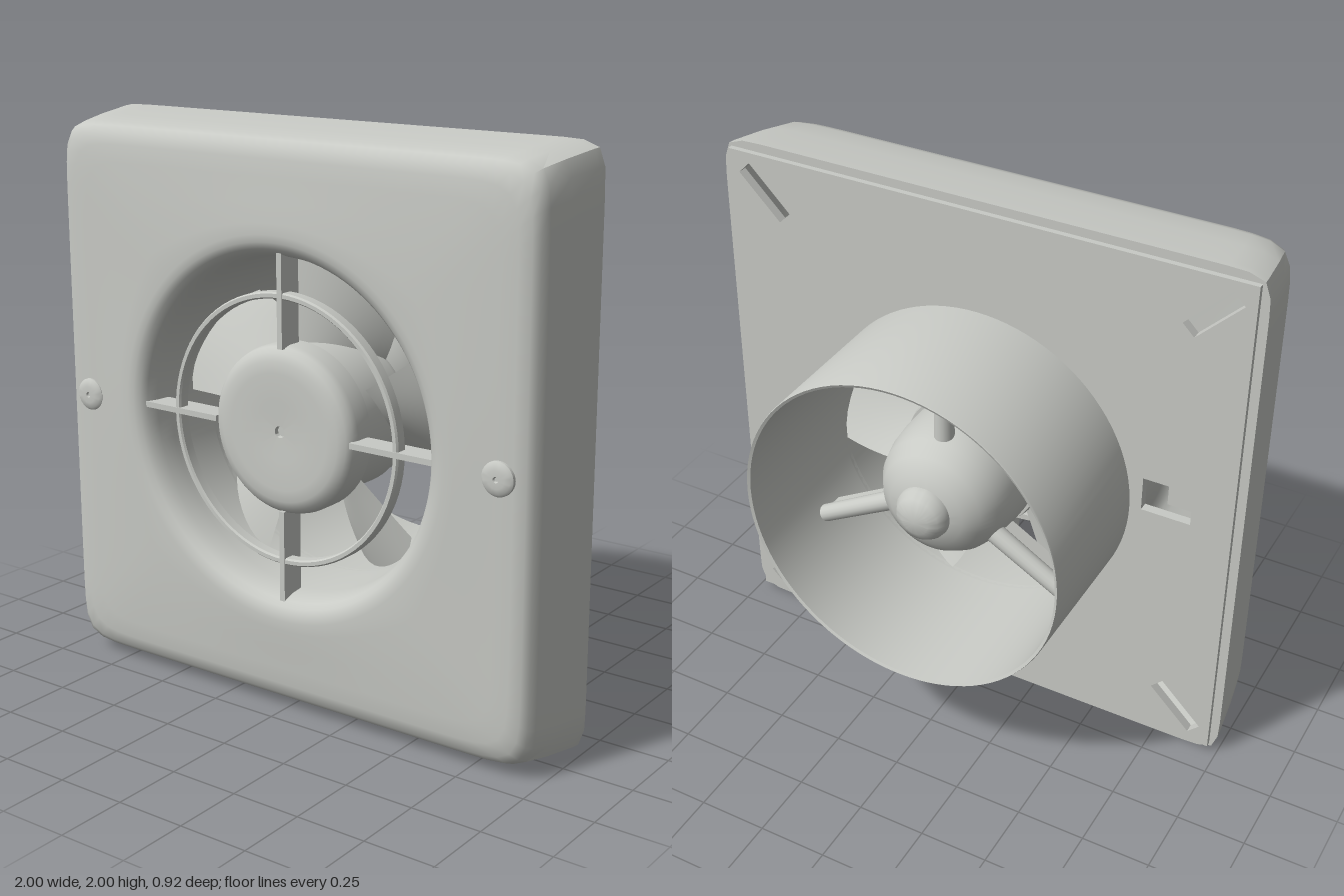
import * as THREE from 'three';
import { toCreasedNormals } from 'three/addons/utils/BufferGeometryUtils.js';

const plastic = new THREE.MeshStandardMaterial({ color: 0xc8cac5, side: THREE.DoubleSide });
plastic.name = 'grey plastic';

export function createModel() {
  const model = new THREE.Group();
  model.name = 'extractorFan';
  const body = new THREE.Group();
  body.name = 'fanBody';
  body.position.y = 1; // fan axis runs along z through the middle
  model.add(body);

  const add = (name, geometry, parent = body) => {
    const mesh = new THREE.Mesh(geometry, plastic);
    mesh.name = name;
    parent.add(mesh);
    return mesh;
  };

  // Turned part about the z axis; profile is [radius, z] from back to front
  const turned = (profile, sides = 64, crease = 0.6) => {
    const g = new THREE.LatheGeometry(profile.map(([r, z]) => new THREE.Vector2(r, z)), sides);
    g.rotateX(Math.PI / 2);
    return toCreasedNormals(g, crease);
  };

  // Grid surface from a point rule
  const surface = (rows, cols, point) => {
    const pos = [], index = [];
    for (let i = 0; i <= rows; i++)
      for (let j = 0; j <= cols; j++) pos.push(...point(i, j));
    for (let i = 0; i < rows; i++)
      for (let j = 0; j < cols; j++) {
        const a = i * (cols + 1) + j, c = a + cols + 1;
        index.push(a, a + 1, c, a + 1, c + 1, c);
      }
    const g = new THREE.BufferGeometry();
    g.setAttribute('position', new THREE.Float32BufferAttribute(pos, 3));
    g.setIndex(index);
    return g;
  };

  // Cover: rounded-square rings that blend into the round throat
  // ring: [half size, z, corner sharpness, blend towards circle, circle radius]
  const rings = [
    [0.955, 0.11, 30, 0, 0], [1.0, 0.11, 30, 0, 0], [0.998, 0.14, 30, 0, 0],
    [0.983, 0.28, 26, 0, 0], [0.97, 0.38, 22, 0, 0], [0.96, 0.41, 20, 0, 0],
    [0.94, 0.43, 18, 0, 0], [0.90, 0.439, 17, 0, 0], [0.84, 0.443, 16, 0, 0],
    [0.84, 0.45, 16, 0.4, 0.66], [0.84, 0.456, 16, 0.8, 0.66], [0.84, 0.458, 16, 1, 0.66],
    [0.84, 0.455, 16, 1, 0.635], [0.84, 0.445, 16, 1, 0.612], [0.84, 0.425, 16, 1, 0.595],
    [0.84, 0.39, 16, 1, 0.582], [0.84, 0.33, 16, 1, 0.575], [0.84, 0.1, 16, 1, 0.572],
  ];
  const N = 160;
  const cover = surface(rings.length - 1, N, (i, j) => {
    const [h, z, n, t, circle] = rings[i];
    const a = (j / N) * Math.PI * 2, c = Math.cos(a), s = Math.sin(a);
    const square = h / Math.pow(Math.abs(c) ** n + Math.abs(s) ** n, 1 / n);
    const r = square * (1 - t) + circle * t;
    return [c * r, s * r, z];
  });
  add('frontCover', toCreasedNormals(cover, 0.7));

  // Back plate with duct opening, diagonal fixing slots and a cable opening
  const plate = new THREE.Shape();
  const e = 0.968;
  plate.moveTo(-e, -e).lineTo(e, -e).lineTo(e, e).lineTo(-e, e).closePath();
  plate.holes.push(new THREE.Path().absarc(0, 0, 0.58, 0, Math.PI * 2, true));
  const slot = (x, y, angle, length, width) => {
    const c = Math.cos(angle), s = Math.sin(angle);
    const corners = [[-1, -1], [-1, 1], [1, 1], [1, -1]].map(([u, v]) => new THREE.Vector2(
      x + c * u * length / 2 - s * v * width / 2, y + s * u * length / 2 + c * v * width / 2));
    plate.holes.push(new THREE.Path(corners));
  };
  for (const sx of [-1, 1])
    for (const sy of [-1, 1]) slot(sx * 0.83, sy * 0.83, sx * sy * Math.PI / 4, 0.22, 0.06);
  slot(-0.73, 0.07, 0, 0.18, 0.13);
  const plateGeo = new THREE.ExtrudeGeometry(plate, { depth: 0.035, bevelEnabled: false, curveSegments: 48 });
  add('backPlate', plateGeo).position.z = 0.09;
  add('cableBlock', new THREE.BoxGeometry(0.09, 0.1, 0.1)).position.set(-0.76, 0.07, 0.19);

  // Round exhaust duct
  add('duct', turned([
    [0.572, 0.12], [0.575, 0], [0.585, -0.455], [0.595, -0.46], [0.597, -0.455], [0.597, 0.1],
  ], 96));

  // Motor housing with its rounded rear end
  add('motorHousing', turned([
    [0, -0.345], [0.05, -0.338], [0.08, -0.322], [0.097, -0.295], [0.1, -0.275],
    [0.14, -0.262], [0.19, -0.225], [0.225, -0.17], [0.243, -0.1], [0.25, -0.02], [0.25, 0.05], [0, 0.05],
  ]));

  // Three struts that carry the motor
  for (const deg of [90, 210, 330]) {
    const strut = new THREE.Group();
    strut.name = 'motorStrut';
    strut.rotation.z = THREE.MathUtils.degToRad(deg);
    body.add(strut);
    const bar = add('strutBar', new THREE.CylinderGeometry(0.032, 0.036, 0.4, 16), strut);
    bar.rotation.z = -Math.PI / 2;
    bar.position.set(0.385, 0, -0.13);
    add('strutRib', new THREE.BoxGeometry(0.4, 0.02, 0.1), strut).position.set(0.385, 0, -0.09);
  }

  // Impeller: hub and five pitched blades
  const impeller = new THREE.Group();
  impeller.name = 'impeller';
  body.add(impeller);
  add('impellerHub', turned([[0, 0.06], [0.26, 0.06], [0.265, 0.08], [0.265, 0.29], [0.25, 0.3], [0, 0.3]]), impeller);
  const blade = surface(8, 10, (i, j) => {
    const v = i / 8, u = j / 10;
    const round = 0.025 * Math.pow(Math.abs(2 * u - 1), 4);
    const r = 0.24 + v * (0.315 - round);
    const from = -36 + 15 * v, to = 20 + v;
    const a = THREE.MathUtils.degToRad(from + (to - from) * u);
    const z = 0.07 + 0.19 * u + 0.025 * Math.sin(Math.PI * u);
    return [Math.cos(a) * r, Math.sin(a) * r, z];
  });
  blade.computeVertexNormals();
  for (let k = 0; k < 5; k++)
    add('fanBlade', blade, impeller).rotation.z = THREE.MathUtils.degToRad(84 + 72 * k);

  // Front grille: centre cap, cross spokes and ring
  add('grilleCap', turned([
    [0.275, 0.315], [0.29, 0.32], [0.29, 0.39], [0.284, 0.412], [0.268, 0.43], [0.24, 0.44],
    [0.2, 0.443], [0.1, 0.438], [0.02, 0.435], [0.018, 0.42], [0, 0.42],
  ], 64, 0.8));
  for (let k = 0; k < 4; k++) {
    const spoke = new THREE.Group();
    spoke.name = 'grilleSpoke';
    spoke.rotation.z = k * Math.PI / 2;
    add('spokeBar', new THREE.BoxGeometry(0.32, 0.02, 0.09), spoke).position.set(0.44, 0, 0.385);
    body.add(spoke);
  }
  add('grilleRing', turned([
    [0.445, 0.385], [0.468, 0.385], [0.468, 0.42], [0.463, 0.427], [0.45, 0.427], [0.445, 0.42], [0.445, 0.385],
  ], 80));

  // Cover screws with a small centre dimple
  const screw = turned([
    [0.058, -0.012], [0.057, 0.004], [0.048, 0.011], [0.03, 0.015], [0.01, 0.015], [0.007, 0.008], [0, 0.008],
  ], 32);
  for (const side of [-1, 1]) add('coverScrew', screw).position.set(side * 0.85, 0, 0.445);

  return model;
}
